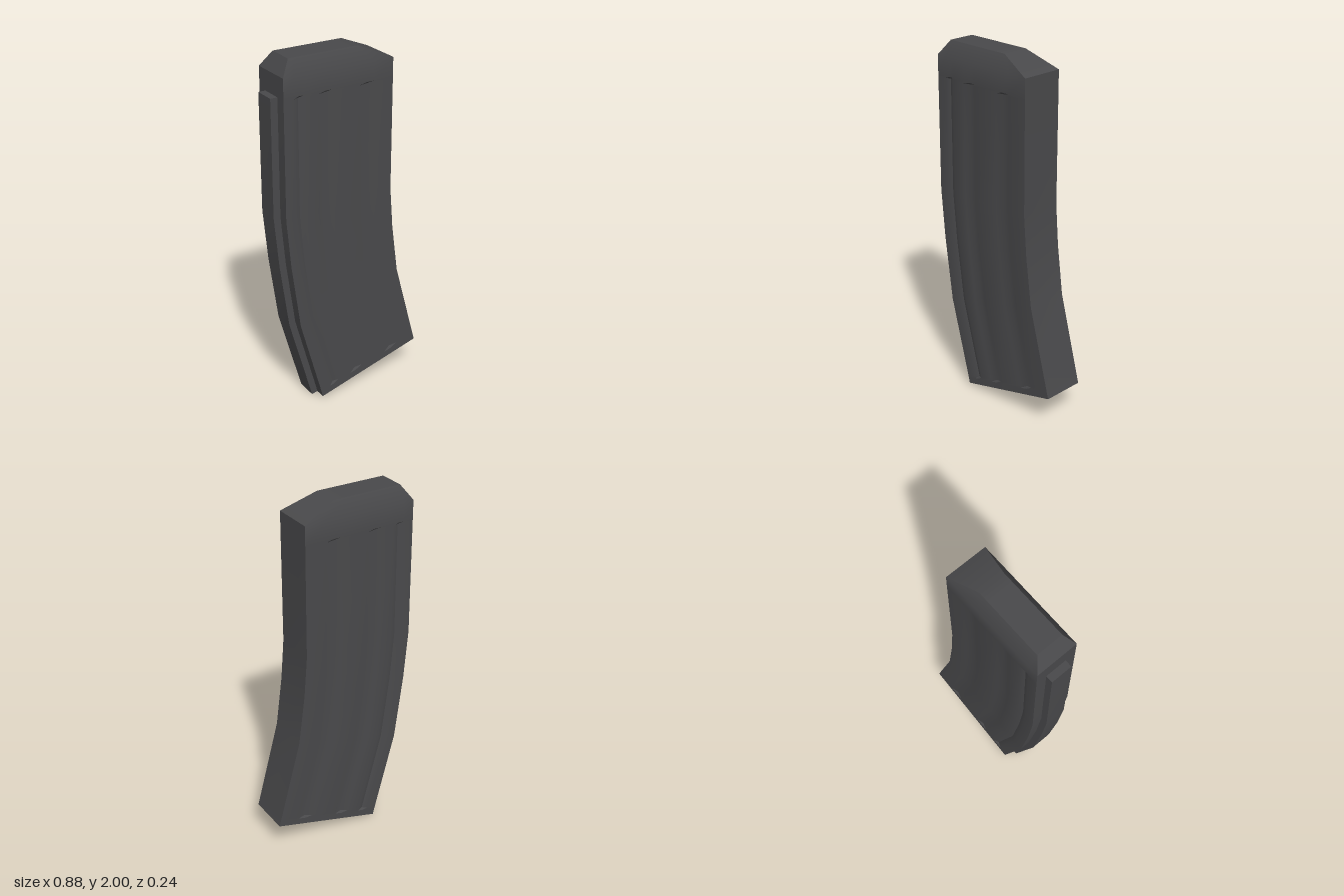
import * as THREE from 'three';
import { toCreasedNormals } from 'three/addons/utils/BufferGeometryUtils.js';

const CREASE = 0.58;

// Cross-sections from bottom to top: [left x, left y, right x, right y, half depth, groove depth]
const ROWS = [
  [-0.19, 0.008, 0.436, 0.18, 0.12, 0],
  [-0.199, 0.044, 0.426, 0.214, 0.12, 0],
  [-0.202, 0.056, 0.423, 0.226, 0.12, 1],
  [-0.325, 0.51, 0.30, 0.68, 0.12, 1],
  [-0.375, 0.88, 0.263, 0.96, 0.12, 1],
  [-0.40, 1.16, 0.245, 1.19, 0.12, 1],
  [-0.40, 1.804, 0.245, 1.804, 0.12, 1],
  [-0.40, 1.815, 0.245, 1.815, 0.12, 0],
  [-0.40, 1.92, 0.245, 1.92, 0.12, 0],
  [-0.345, 2, 0.055, 2, 0.075, 0],
];

// Points across the broad face: [fraction of width, groove depth]
const ACROSS = [[0, 0]];
for (const [centre, half] of [[0.135, 0.045], [0.37, 0.063], [0.75, 0.07]]) {
  ACROSS.push([centre - half, 0], [centre, 0.011], [centre + half, 0]);
}
ACROSS.push([1, 0]);

// Curved box with three shallow grooves on each broad face and a bevelled top
function bodyGeometry() {
  const n = ACROSS.length, ring = 2 * n;
  const positions = [], index = [];
  const quad = (a, b, c, d) => index.push(a, b, c, a, c, d);

  for (const [lx, ly, rx, ry, z, groove] of ROWS) {
    for (let j = 0; j < ring; j++) {
      const back = j >= n;
      const [u, depth] = ACROSS[back ? ring - 1 - j : j];
      const d = z - depth * groove;
      positions.push(lx + (rx - lx) * u, ly + (ry - ly) * u, back ? -d : d);
    }
  }
  for (let i = 0; i < ROWS.length - 1; i++) {
    for (let j = 0; j < ring; j++) {
      const k = (j + 1) % ring, a = i * ring, b = a + ring;
      quad(a + j, a + k, b + k, b + j);
    }
  }
  // End faces
  const top = (ROWS.length - 1) * ring;
  for (let j = 0; j < n - 1; j++) {
    const f = j, g = j + 1, bg = ring - 2 - j, bf = ring - 1 - j;
    quad(top + f, top + g, top + bg, top + bf);
    quad(f, bf, bg, g);
  }

  const geometry = new THREE.BufferGeometry();
  geometry.setAttribute('position', new THREE.Float32BufferAttribute(positions, 3));
  geometry.setIndex(index);
  return toCreasedNormals(geometry, CREASE);
}

// Narrow rail following the outer curve
function spineGeometry() {
  const outer = [[-0.225, 0], [-0.362, 0.5], [-0.413, 0.87], [-0.44, 1.16], [-0.44, 1.808]];
  const inner = [[-0.39, 1.808], [-0.39, 1.16], [-0.365, 0.88], [-0.315, 0.51], [-0.184, 0.008]];
  const shape = new THREE.Shape([...outer, ...inner].map(([x, y]) => new THREE.Vector2(x, y)));
  const geometry = new THREE.ExtrudeGeometry(shape, { depth: 0.12, bevelEnabled: false });
  geometry.translate(0, 0, -0.06);
  return toCreasedNormals(geometry, CREASE);
}

export function createModel() {
  const group = new THREE.Group();
  group.name = 'curvedMagazine';
  const darkMetal = new THREE.MeshStandardMaterial({ color: 0x49494b });
  darkMetal.name = 'darkMetal';

  const body = new THREE.Mesh(bodyGeometry(), darkMetal);
  body.name = 'body';
  const spine = new THREE.Mesh(spineGeometry(), darkMetal);
  spine.name = 'spineRail';
  group.add(body, spine);
  return group;
}
